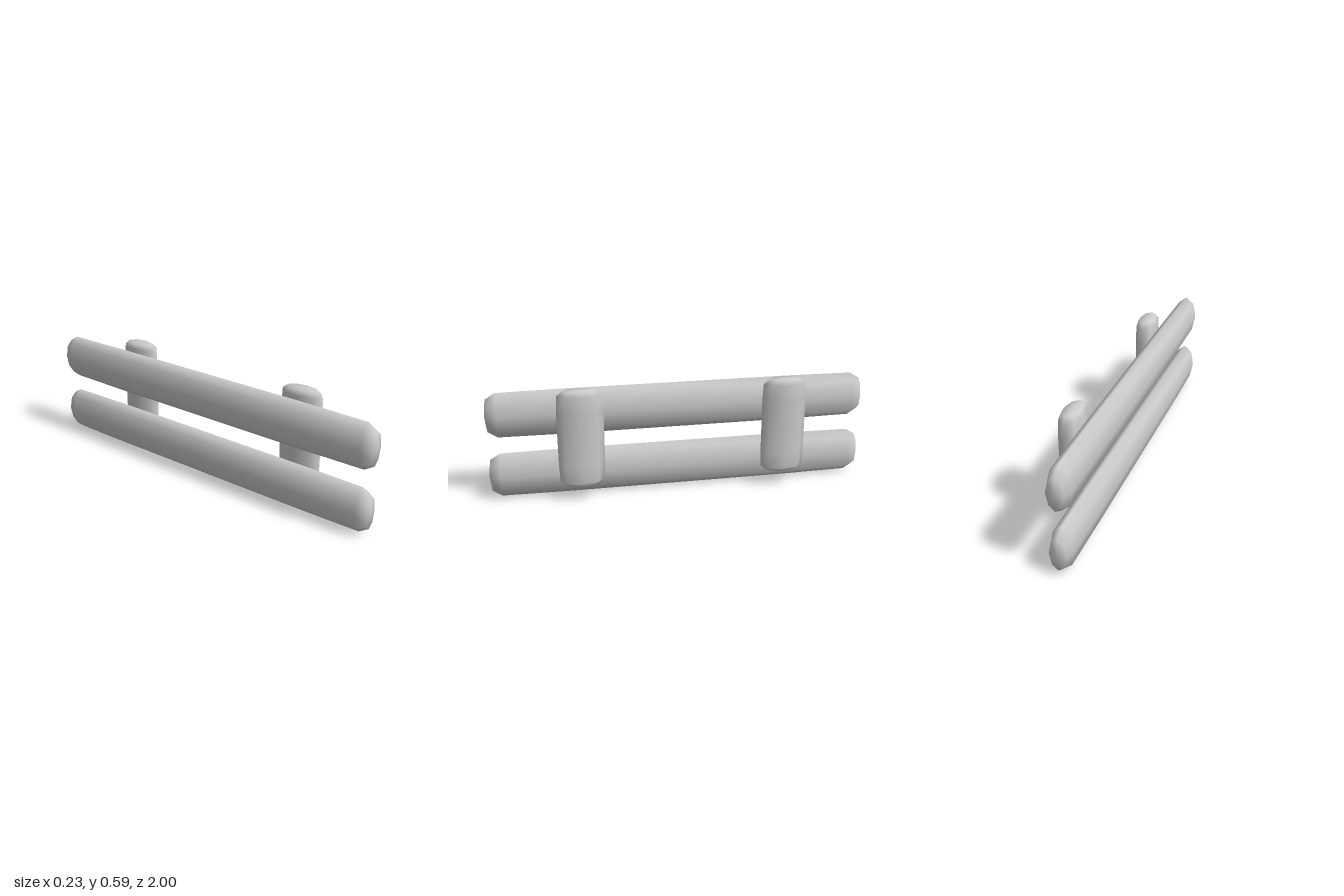
import * as THREE from 'three';

const material = new THREE.MeshStandardMaterial({ color: 0xcccccc });

// Soft eight-sided bar along y: rings of [height, scale], closed by a point at each end
function barGeometry(halfX, halfZ, halfLength, rings) {
  const sides = 8;
  const positions = [];
  const index = [];
  for (const [y, scale] of rings) {
    for (let i = 0; i < sides; i++) {
      const a = (i / sides) * Math.PI * 2;
      positions.push(Math.sin(a) * halfX * scale, y, Math.cos(a) * halfZ * scale);
    }
  }
  for (let r = 0; r < rings.length - 1; r++) {
    for (let i = 0; i < sides; i++) {
      const a = r * sides + i;
      const b = r * sides + ((i + 1) % sides);
      index.push(a, b, b + sides, a, b + sides, a + sides);
    }
  }
  // End points
  const bottom = rings.length * sides;
  const top = bottom + 1;
  const last = (rings.length - 1) * sides;
  positions.push(0, -halfLength, 0, 0, halfLength, 0);
  for (let i = 0; i < sides; i++) {
    const j = (i + 1) % sides;
    index.push(bottom, j, i, top, last + i, last + j);
  }
  const geometry = new THREE.BufferGeometry();
  geometry.setAttribute('position', new THREE.Float32BufferAttribute(positions, 3));
  geometry.setIndex(index);
  geometry.computeVertexNormals();
  return geometry;
}

// Mirrors the profile of one end to the other
const bothEnds = (half) => [...half.map(([y, s]) => [-y, s]).reverse(), ...half];

export function createModel() {
  const group = new THREE.Group();

  // Two long horizontal rails
  const railGeometry = barGeometry(0.061, 0.122, 1,
    bothEnds([[0.6, 1], [0.94, 0.97], [0.99, 0.71]]));
  railGeometry.rotateX(Math.PI / 2);
  [['lowerRail', 0.122], ['upperRail', 0.447]].forEach(([name, y]) => {
    const rail = new THREE.Mesh(railGeometry, material);
    rail.name = name;
    rail.position.set(-0.0525, y, 0);
    group.add(rail);
  });

  // Two short posts fixed to the side of the rails
  const postGeometry = barGeometry(0.0575, 0.118, 0.257,
    bothEnds([[0.14, 1], [0.228, 0.96], [0.252, 0.71]]));
  [['frontPost', 0.528], ['backPost', -0.536]].forEach(([name, z]) => {
    const post = new THREE.Mesh(postGeometry, material);
    post.name = name;
    post.position.set(0.0555, 0.335, z);
    group.add(post);
  });

  return group;
}
